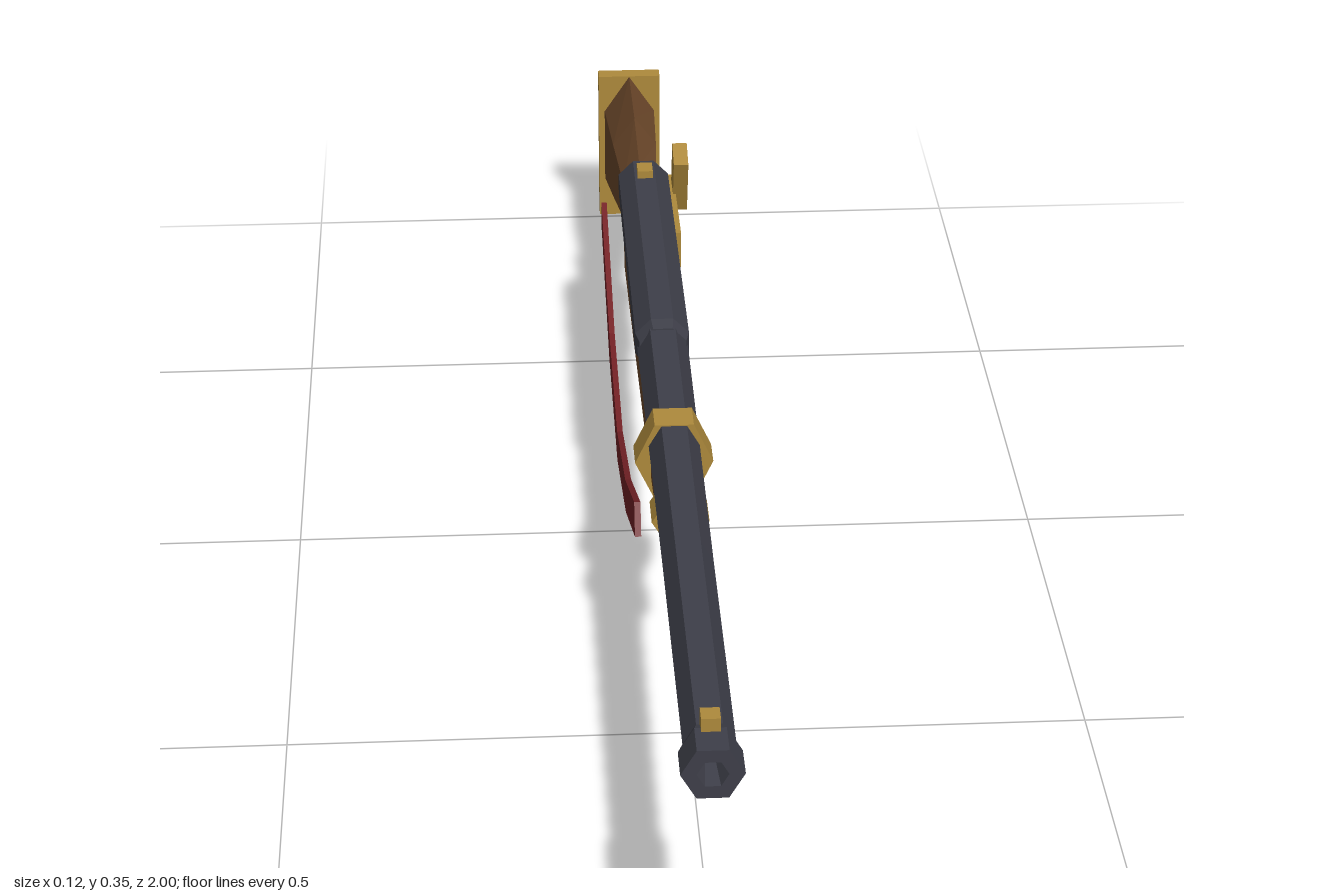
import * as THREE from 'three';

const CX = -0.004; // centre line of the long parts

function mat(name, color) {
  const m = new THREE.MeshStandardMaterial({ color });
  m.name = name;
  return m;
}

export function createModel() {
  const group = new THREE.Group();
  const wood = mat('walnut wood', 0x6f4a2c);
  const steel = mat('blued steel', 0x3e3f49);
  const brass = mat('brass', 0xae8a3c);
  const leather = mat('red leather', 0x752226);

  function add(name, geometry, material, x = 0, y = 0, z = 0) {
    const flat = geometry.index ? geometry.toNonIndexed() : geometry;
    flat.computeVertexNormals();
    const mesh = new THREE.Mesh(flat, material);
    mesh.name = name;
    mesh.position.set(x, y, z);
    group.add(mesh);
    return mesh;
  }

  // Box given by its min and max corners
  function box(name, material, [x0, y0, z0], [x1, y1, z1]) {
    return add(name, new THREE.BoxGeometry(x1 - x0, y1 - y0, z1 - z0), material,
      (x0 + x1) / 2, (y0 + y1) / 2, (z0 + z1) / 2);
  }

  // Faceted body along z with a flat top; profile is [radius, z] from back to front
  function turned(name, material, sides, profile, y, scaleY = 1) {
    const pts = profile.map(([r, z]) => new THREE.Vector2(r, z));
    const g = new THREE.LatheGeometry(pts, sides, Math.PI / sides);
    g.rotateX(Math.PI / 2).scale(1, scaleY, 1);
    return add(name, g, material, CX, y, 0);
  }

  // Barrel with flared muzzle and tapering bore
  turned('barrel', steel, 6, [[0, -0.1], [0.034, -0.1], [0.034, 0], [0.031, 0.55], [0.03, 0.94],
    [0.036, 0.955], [0.036, 1], [0.018, 1], [0.007, 0.93], [0, 0.93]], 0.281);
  // Heavier breech section
  turned('breech', steel, 8, [[0, -0.525], [0.039, -0.525], [0.039, -0.02], [0.034, 0.0], [0, 0]], 0.281);

  // Stock: hexagonal sections [z, centre y, half height, half width]
  const stations = [
    [0.37, 0.25, 0.025, 0.028], [0.2, 0.253, 0.03, 0.031], [-0.22, 0.25, 0.045, 0.034],
    [-0.42, 0.23, 0.058, 0.033], [-0.56, 0.212, 0.056, 0.025], [-0.64, 0.198, 0.057, 0.024],
    [-0.8, 0.175, 0.088, 0.033], [-0.975, 0.14, 0.116, 0.039],
  ];
  const n = stations.length - 1;
  const stock = new THREE.CylinderGeometry(1, 1, 1, 6, n);
  stock.rotateX(Math.PI / 2);
  const p = stock.attributes.position;
  for (let i = 0; i < p.count; i++) {
    const [z, cy, ry, hw] = stations[Math.round((0.5 - p.getZ(i)) * n)];
    p.setXYZ(i, p.getX(i) * hw / 0.866, cy + p.getY(i) * ry, z);
  }
  add('stock', stock, wood, CX);

  // Brass fittings
  box('buttPlate', brass, [CX - 0.048, 0.018, -1], [CX + 0.048, 0.257, -0.975]);
  turned('barrelBand', brass, 6, [[0, 0.218], [0.05, 0.218], [0.05, 0.263], [0, 0.263]], 0.257, 1.24);
  turned('foreEndCap', brass, 6, [[0, 0.35], [0.036, 0.35], [0.036, 0.402], [0, 0.402]], 0.25, 0.95);
  box('lockPlate', brass, [0.022, 0.23, -0.547], [0.041, 0.284, -0.35]);
  box('frontSight', brass, [CX - 0.011, 0.3, 0.94], [CX + 0.011, 0.329, 0.963]);
  box('rearSight', brass, [CX - 0.011, 0.305, -0.495], [CX + 0.011, 0.328, -0.465]);

  // Hammer, leaning forward
  const hammer = add('hammer', new THREE.BoxGeometry(0.021, 0.091, 0.045), brass, 0.0475, 0.304, -0.4965);
  hammer.rotation.x = 0.35;

  // Trigger guard: lower half ring in the side plane
  const guard = new THREE.TorusGeometry(0.045, 0.008, 4, 8, Math.PI);
  guard.rotateZ(Math.PI).rotateY(Math.PI / 2);
  add('triggerGuard', guard, brass, CX, 0.185, -0.473);

  // Sling: mitred flat ribbon hanging beside the stock, path as [z, y]
  const path = [[0.33, 0.213], [0.065, 0.095], [-0.2, 0.024], [-0.468, 0.045], [-0.742, 0.131]]
    .map(([z, y]) => new THREE.Vector2(z, y));
  const upper = [], lower = [];
  path.forEach((q, i) => {
    const a = path[Math.max(i - 1, 0)], b = path[Math.min(i + 1, path.length - 1)];
    const d = b.clone().sub(a).normalize();
    const side = new THREE.Vector2(d.y, -d.x).multiplyScalar(0.022);
    upper.push(q.clone().add(side));
    lower.unshift(q.clone().sub(side));
  });
  const sling = new THREE.ExtrudeGeometry(new THREE.Shape([...upper, ...lower]),
    { depth: 0.008, bevelEnabled: false });
  sling.rotateY(-Math.PI / 2); // shape x becomes z, depth runs toward -x
  add('sling', sling, leather, -0.05);

  return group;
}
